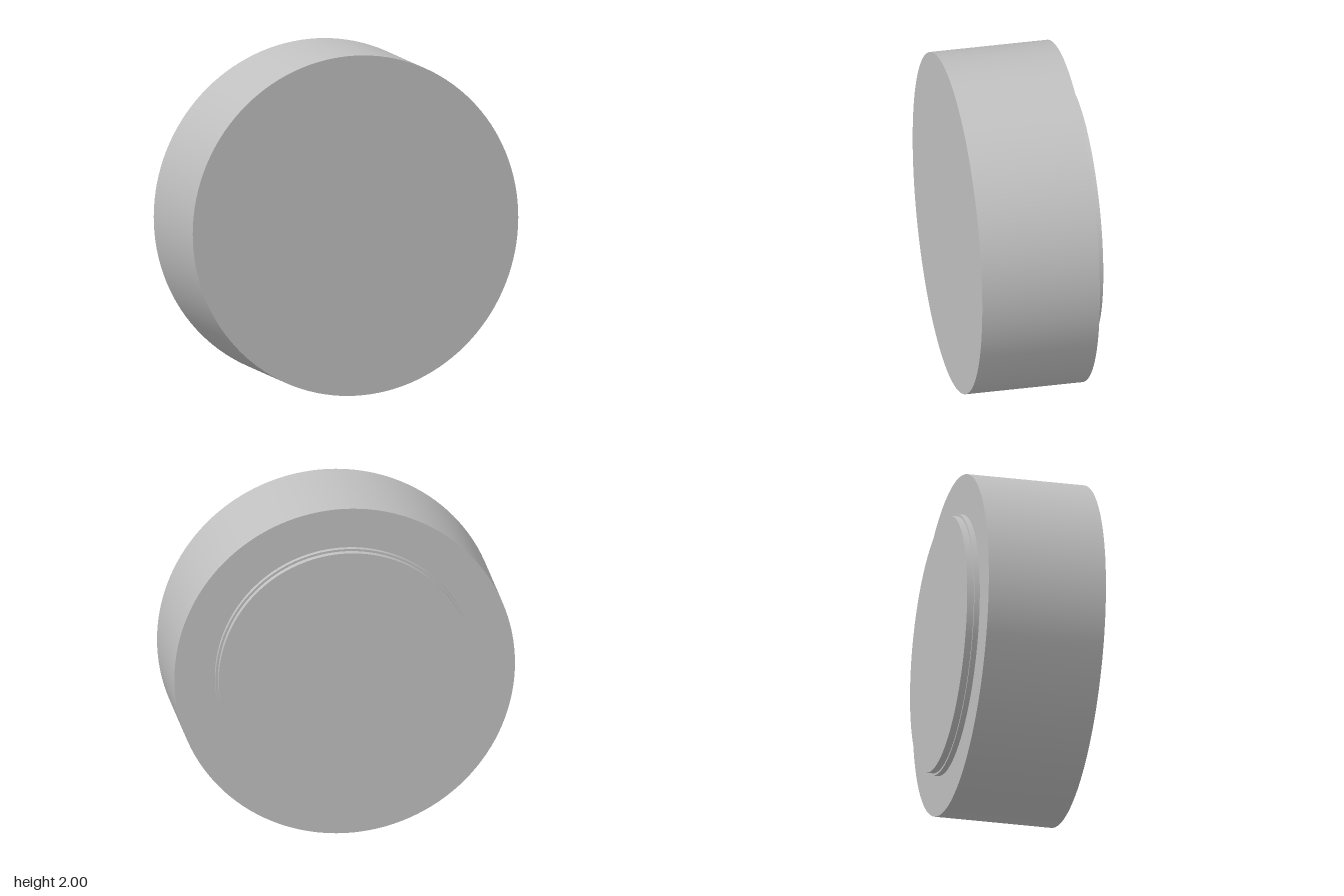
import * as THREE from 'three';

export function createModel() {
  const model = new THREE.Group();
  const grey = new THREE.MeshStandardMaterial({ color: 0xc0c0c0 });
  grey.name = 'light grey';

  // Disc lying along z, from zBack to zFront, centred at y = 1
  function disc(name, radius, zBack, zFront) {
    const geometry = new THREE.CylinderGeometry(radius, radius, zFront - zBack, 128);
    geometry.rotateX(Math.PI / 2);
    const mesh = new THREE.Mesh(geometry, grey);
    mesh.name = name;
    mesh.position.set(0, 1, (zBack + zFront) / 2);
    model.add(mesh);
  }

  disc('body', 1, -0.313, 0.385); // thick main drum
  disc('collar', 0.763, -0.345, -0.313); // thin step on the back
  disc('backPlate', 0.75, -0.385, -0.345); // slightly smaller raised plate

  return model;
}
